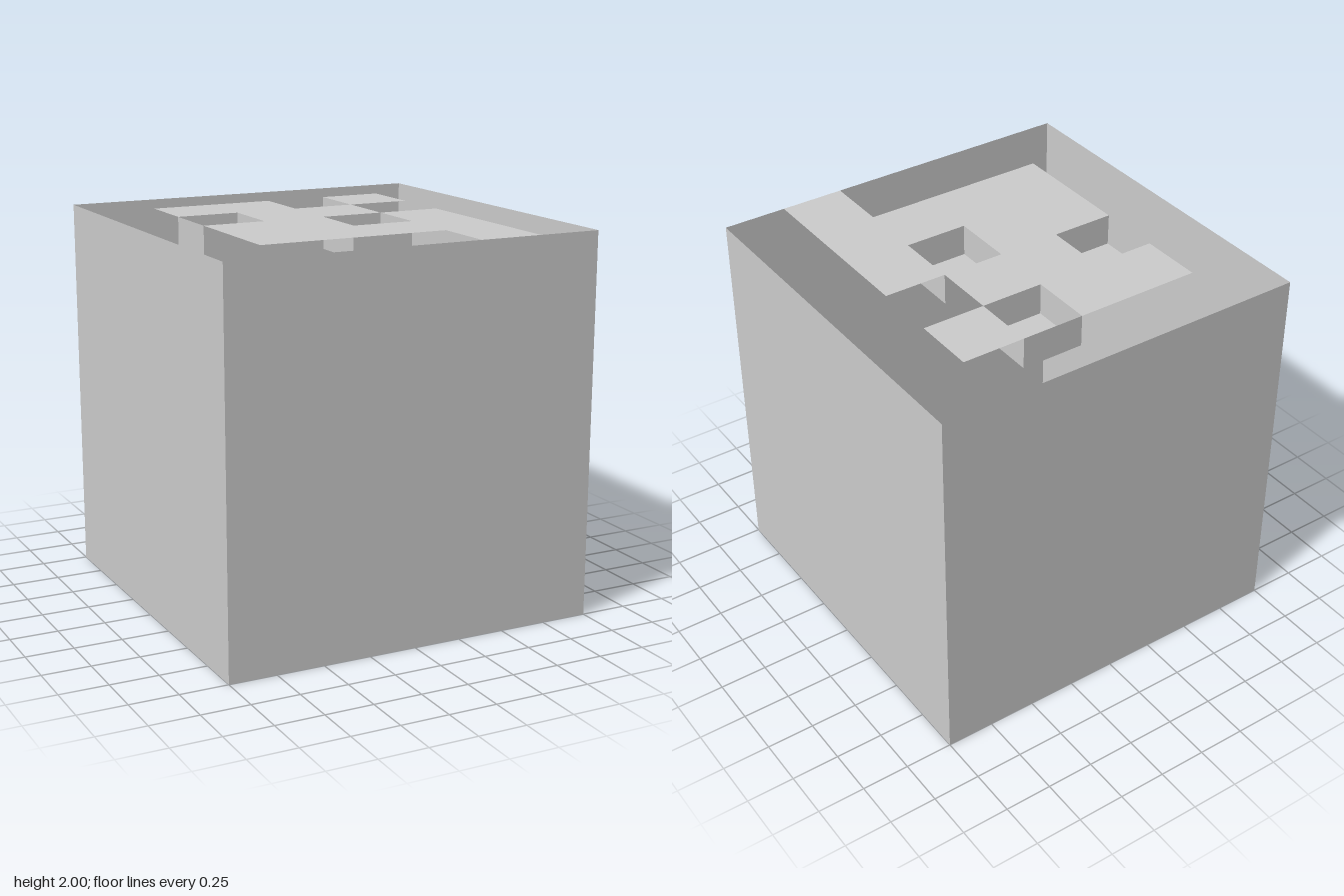
import * as THREE from 'three';
import { mergeGeometries, mergeVertices } from 'three/addons/utils/BufferGeometryUtils.js';

const CELL = 1 / 3;
const PIT_DEPTH = 1 / 6;

// Top pattern, back row first: # flat tile, o sunken pit, . open gap
const PATTERN = [
  '##o#',
  'o##.',
  '##o#',
  '####',
  '...#',
];

// Thin-walled box without its top face, with its rim at y = top
function openBox(width, height, top) {
  const geometry = new THREE.BoxGeometry(width, height, width);
  const index = Array.from(geometry.index.array);
  index.splice(12, 6); // the top face
  geometry.setIndex(index);
  geometry.clearGroups();
  return geometry.translate(0, top - height / 2, 0);
}

export function createModel() {
  const group = new THREE.Group();
  const material = new THREE.MeshStandardMaterial({ color: 0xcccccc, side: THREE.DoubleSide });

  const add = (name, geometry, x = 0, z = 0) => {
    const mesh = new THREE.Mesh(geometry, material);
    mesh.name = name;
    mesh.position.set(x, 0, z);
    group.add(mesh);
  };

  // Hollow outer cube, open at the top
  add('outerShell', openBox(2, 2, 2));

  // Flat tiles level with the rim, and the pits hanging between them
  const tiles = [];
  PATTERN.forEach((row, r) => {
    [...row].forEach((cell, c) => {
      const x = (c - 1.5) * CELL;
      const z = (r - 1.5) * CELL;
      if (cell === '#') {
        tiles.push(new THREE.PlaneGeometry(CELL, CELL).rotateX(-Math.PI / 2).translate(x, 2, z));
      } else if (cell === 'o') {
        add('pit', openBox(CELL, PIT_DEPTH, 2), x, z);
      }
    });
  });
  const sheet = mergeGeometries(tiles);
  sheet.deleteAttribute('uv');
  add('topSheet', mergeVertices(sheet));

  return group;
}
